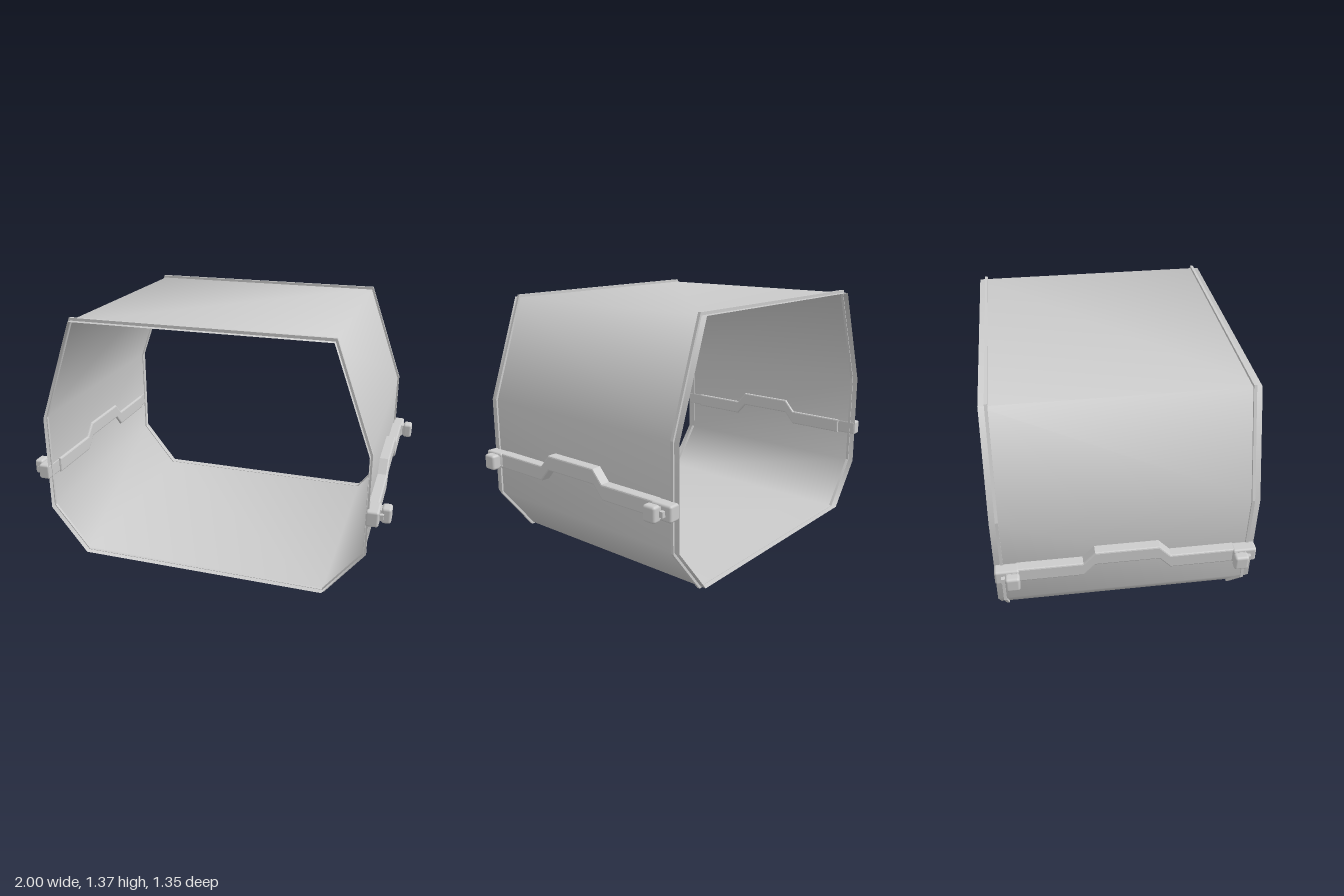
import * as THREE from 'three';
import { RoundedBoxGeometry } from 'three/addons/geometries/RoundedBoxGeometry.js';

const mat = new THREE.MeshStandardMaterial({ color: 0xcccccc });
const thin = new THREE.MeshStandardMaterial({ color: 0xcccccc, side: THREE.DoubleSide });

function add(parent, name, geometry, material = mat, x = 0, y = 0, z = 0) {
  const mesh = new THREE.Mesh(geometry, material);
  mesh.name = name;
  mesh.position.set(x, y, z);
  parent.add(mesh);
  return mesh;
}

// Mirrors the right half of an outline into a closed, counter-clockwise loop
const mirrored = (half) => [...half, ...half.slice().reverse().map(([x, y]) => [-x, y])];
const vectors = (points) => points.map(([x, y]) => new THREE.Vector2(x, y));

// Open tube with smooth normals across its eight corners
function tubeGeometry(outline, halfLength) {
  const positions = [], index = [], n = outline.length;
  for (const z of [halfLength, -halfLength]) for (const [x, y] of outline) positions.push(x, y, z);
  for (let i = 0; i < n; i++) {
    const j = (i + 1) % n;
    index.push(i, i + n, j, j, i + n, j + n);
  }
  const g = new THREE.BufferGeometry();
  g.setAttribute('position', new THREE.Float32BufferAttribute(positions, 3));
  g.setIndex(index);
  g.computeVertexNormals();
  return g;
}

// Side outline (z, y) extruded along x, from x0 to x1
function sideExtrude(points, x0, x1) {
  const g = new THREE.ExtrudeGeometry(new THREE.Shape(vectors(points)), {
    depth: x1 - x0 - 0.016, bevelEnabled: true, bevelThickness: 0.008,
    bevelSize: 0.008, bevelOffset: -0.008, bevelSegments: 2,
  });
  return g.rotateY(-Math.PI / 2).translate(x1 - 0.008, 0, 0);
}

// Stepped rail with a clip at both ends, on the +x side
function railSide() {
  const side = new THREE.Group();
  const lower = [[-0.56, 0.437], [-0.225, 0.437], [-0.165, 0.505], [0.165, 0.505], [0.225, 0.437], [0.56, 0.437]];
  const upper = [[0.56, 0.52], [0.225, 0.52], [0.165, 0.588], [-0.165, 0.588], [-0.225, 0.52], [-0.56, 0.52]];
  add(side, 'steppedRail', sideExtrude([...lower, ...upper], 0.868, 0.935));
  for (const s of [-1, 1]) {
    const clip = new THREE.Group();
    clip.name = 'clip';
    add(clip, 'clipBlock', new RoundedBoxGeometry(0.065, 0.084, 0.125, 2, 0.012), mat, 0.912, 0.479, s * 0.6125);
    add(clip, 'clipNeck', new THREE.BoxGeometry(0.05, 0.06, 0.06), mat, 0.945, 0.479, s * 0.587);
    add(clip, 'clipKnob', new RoundedBoxGeometry(0.05, 0.084, 0.074, 3, 0.014), mat, 0.975, 0.479, s * 0.585);
    add(clip, 'clipTab', new THREE.BoxGeometry(0.08, 0.03, 0.02), mat, 0.925, 0.479, s * 0.632);
    side.add(clip);
  }
  return side;
}

export function createModel() {
  const model = new THREE.Group();
  model.name = 'octagonalSleeve';

  // Thin eight-sided wall
  const wall = mirrored([[0.68, 0.008], [0.882, 0.265], [0.882, 0.803], [0.685, 1.355]]);
  add(model, 'wall', tubeGeometry(wall, 0.675), thin);

  // Raised band near each open end
  const outer = mirrored([[0.69, 0], [0.892, 0.258], [0.892, 0.81], [0.692, 1.37]]);
  const inner = mirrored([[0.676, 0.01], [0.877, 0.267], [0.877, 0.802], [0.682, 1.352]]);
  const ring = new THREE.Shape(vectors(outer));
  ring.holes.push(new THREE.Path(vectors(inner)));
  const band = new THREE.ExtrudeGeometry(ring, { depth: 0.015, bevelEnabled: false }).translate(0, 0, -0.0075);
  for (const s of [-1, 1]) add(model, 'rimBand', band, mat, 0, 0, s * 0.637);

  // Rails on both sides
  const left = railSide();
  left.name = 'leftRail';
  const right = railSide();
  right.name = 'rightRail';
  right.rotation.y = Math.PI;
  model.add(left, right);
  return model;
}
